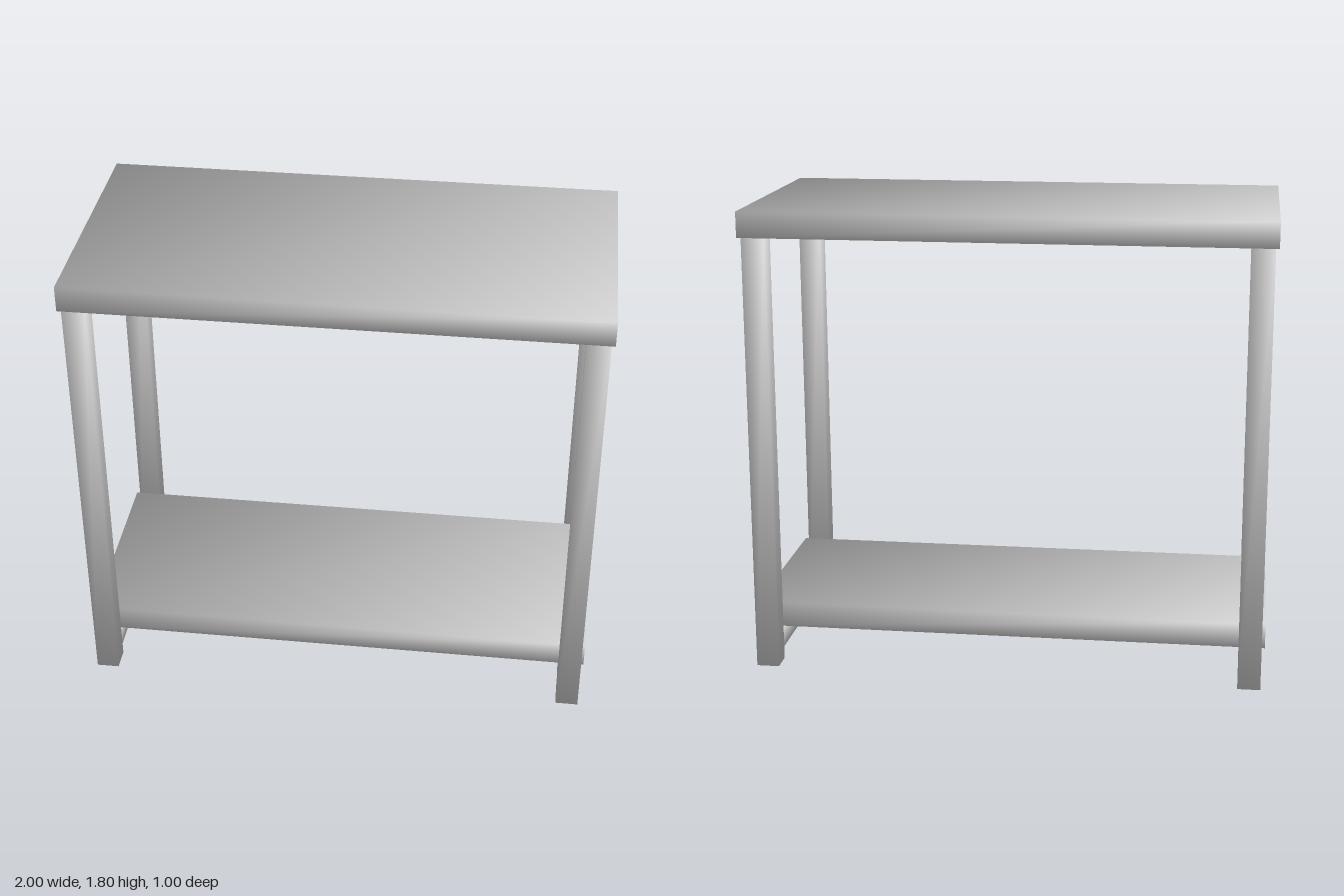
import * as THREE from 'three';

const material = new THREE.MeshStandardMaterial({ color: 0xcccccc });

// Box with soft shading: each corner's normal points diagonally outwards.
function softBox(width, height, depth) {
  const geometry = new THREE.BoxGeometry(width, height, depth);
  const { position, normal } = geometry.attributes;
  const n = new THREE.Vector3();
  for (let i = 0; i < position.count; i++) {
    n.set(Math.sign(position.getX(i)), Math.sign(position.getY(i)), Math.sign(position.getZ(i))).normalize();
    normal.setXYZ(i, n.x, n.y, n.z);
  }
  return geometry;
}

export function createModel() {
  const table = new THREE.Group();
  table.name = 'sideTable';

  // Adds a board given its size, its underside height and its centre.
  const addPart = (name, [w, h, d], bottom, x = 0, z = 0) => {
    const mesh = new THREE.Mesh(softBox(w, h, d), material);
    mesh.name = name;
    mesh.position.set(x, bottom + h / 2, z);
    table.add(mesh);
  };

  const legSize = 0.088;
  const legX = 0.943;
  const legZ = 0.443;
  const topBottom = 1.705;
  const shelfBottom = 0.137;
  const shelfDepth = 2 * legZ - legSize;

  // Tabletop, and the lower shelf held between the front and back legs
  addPart('tabletop', [2, 0.098, 1], topBottom);
  addPart('shelf', [2, 0.098, shelfDepth], shelfBottom);

  for (const [side, sx] of [['Left', 1], ['Right', -1]]) {
    // Square legs at the corners
    for (const [end, sz] of [['front', 1], ['back', -1]]) {
      addPart(`${end}${side}Leg`, [legSize, topBottom, legSize], 0, sx * legX, sz * legZ);
    }
    // Rail under each end of the shelf
    addPart(`shelfRail${side}`, [legSize, legSize, shelfDepth], shelfBottom - legSize, sx * legX);
  }

  return table;
}
